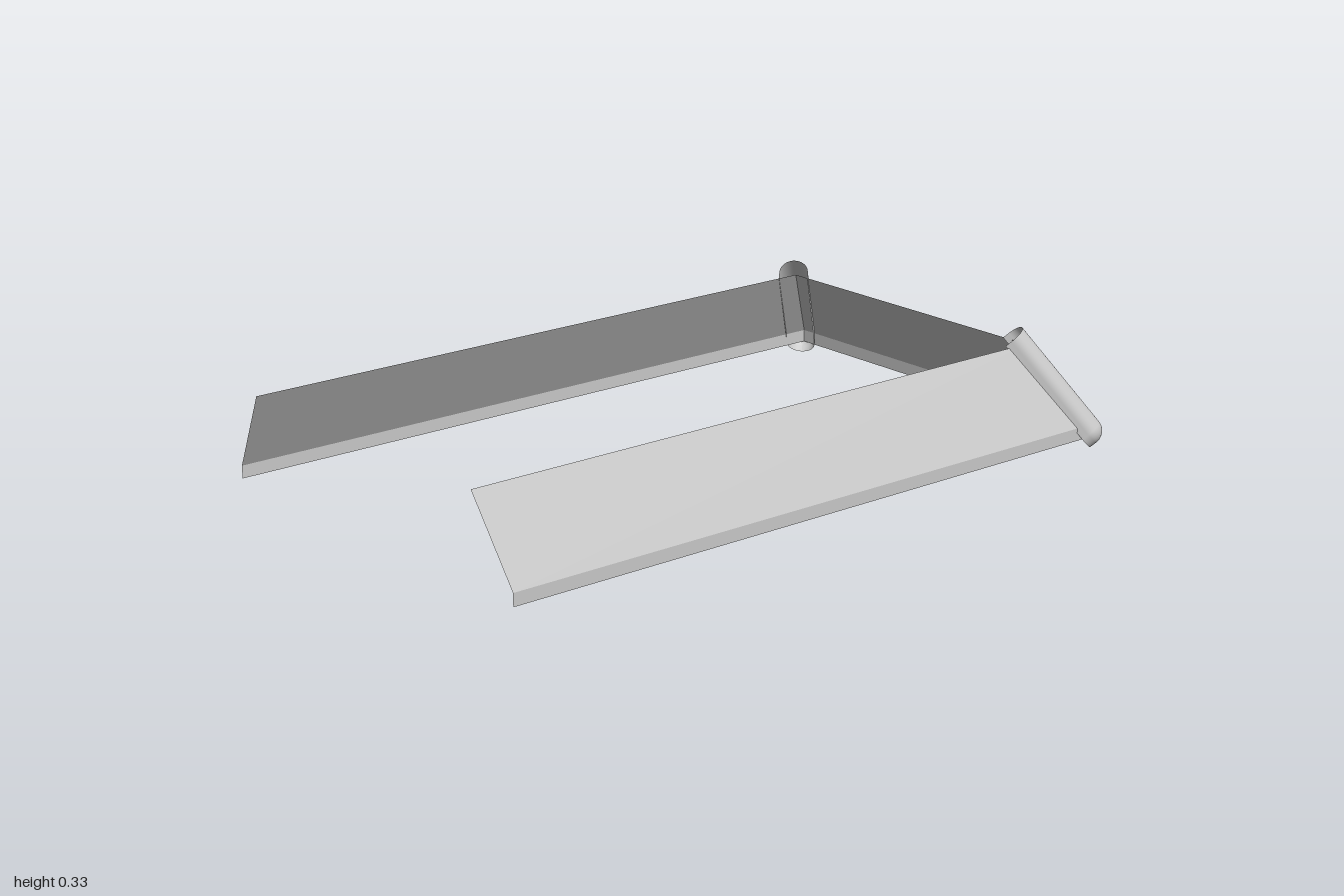
import * as THREE from 'three';

const metal = new THREE.MeshStandardMaterial({ color: 0xc8c8c8, side: THREE.DoubleSide });
metal.name = 'light grey metal';

// Flat four-cornered sheet, corners counter-clockwise from outside
function sheet(name, a, b, c, d) {
  const geometry = new THREE.BufferGeometry();
  geometry.setAttribute('position', new THREE.Float32BufferAttribute([a, b, c, a, c, d].flat(), 3));
  geometry.computeVertexNormals();
  const mesh = new THREE.Mesh(geometry, metal);
  mesh.name = name;
  return mesh;
}

// Open U-shaped cap along the sloping corner, closed by a rounded lower end
function hipCap(side) {
  const radius = 0.041, skirt = 0.02, arcSteps = 20, domeSteps = 10;
  const low = new THREE.Vector3(side * 0.574, 0.043, -0.959);
  const high = new THREE.Vector3(side * 0.433, 0.304, -0.797);
  const along = high.clone().sub(low).normalize();
  const across = new THREE.Vector3(0, 1, 0).cross(along).normalize();
  const out = along.clone().cross(across).normalize();

  // Stations: top end, then the dome from full width down to its tip
  const stations = [[high, radius, 0]];
  for (let i = 0; i <= domeSteps; i++) {
    const t = (i / domeSteps) * Math.PI / 2;
    stations.push([low, radius * Math.cos(t), -radius * Math.sin(t)]);
  }
  const points = [], index = [], width = arcSteps + 3;
  stations.forEach(([centre, r, shift], row) => {
    const section = [[r, -skirt]];
    for (let j = 0; j <= arcSteps; j++) {
      const t = (j / arcSteps) * Math.PI;
      section.push([r * Math.cos(t), r * Math.sin(t)]);
    }
    section.push([-r, -skirt]);
    section.forEach(([u, v], col) => {
      const p = centre.clone().addScaledVector(along, shift)
        .addScaledVector(across, u).addScaledVector(out, v);
      points.push(p.x, p.y, p.z);
      if (row && col) {
        const d = row * width + col, c = d - 1, b = d - width, a = b - 1;
        index.push(a, c, b, b, c, d);
      }
    });
  });
  const geometry = new THREE.BufferGeometry();
  geometry.setAttribute('position', new THREE.Float32BufferAttribute(points, 3));
  geometry.setIndex(index);
  geometry.computeVertexNormals();
  const mesh = new THREE.Mesh(geometry, metal);
  mesh.name = side > 0 ? 'leftHipCap' : 'rightHipCap';
  return mesh;
}

export function createModel() {
  const group = new THREE.Group();
  group.name = 'roofEdgeTrim';
  const topX = 0.46, edgeX = 0.585, topY = 0.285, foldY = 0.062, lipY = 0.027;
  const topZ = -0.83, edgeZ = -0.98;

  // Back slope and its vertical lip
  group.add(
    sheet('backSlope', [edgeX, foldY, edgeZ], [-edgeX, foldY, edgeZ], [-topX, topY, topZ], [topX, topY, topZ]),
    sheet('backLip', [edgeX, lipY, edgeZ], [-edgeX, lipY, edgeZ], [-edgeX, foldY, edgeZ], [edgeX, foldY, edgeZ])
  );

  // Side slopes, side lips and corner caps
  for (const s of [1, -1]) {
    const slope = [[s * edgeX, foldY, 0.977], [s * edgeX, foldY, edgeZ], [s * topX, topY, topZ], [s * topX, topY, 1]];
    const lip = [[s * edgeX, lipY, 0.977], [s * edgeX, lipY, edgeZ], [s * edgeX, foldY, edgeZ], [s * edgeX, foldY, 0.977]];
    if (s < 0) {
      slope.reverse();
      lip.reverse();
    }
    const prefix = s > 0 ? 'left' : 'right';
    group.add(sheet(prefix + 'Slope', ...slope), sheet(prefix + 'Lip', ...lip), hipCap(s));
  }
  return group;
}
